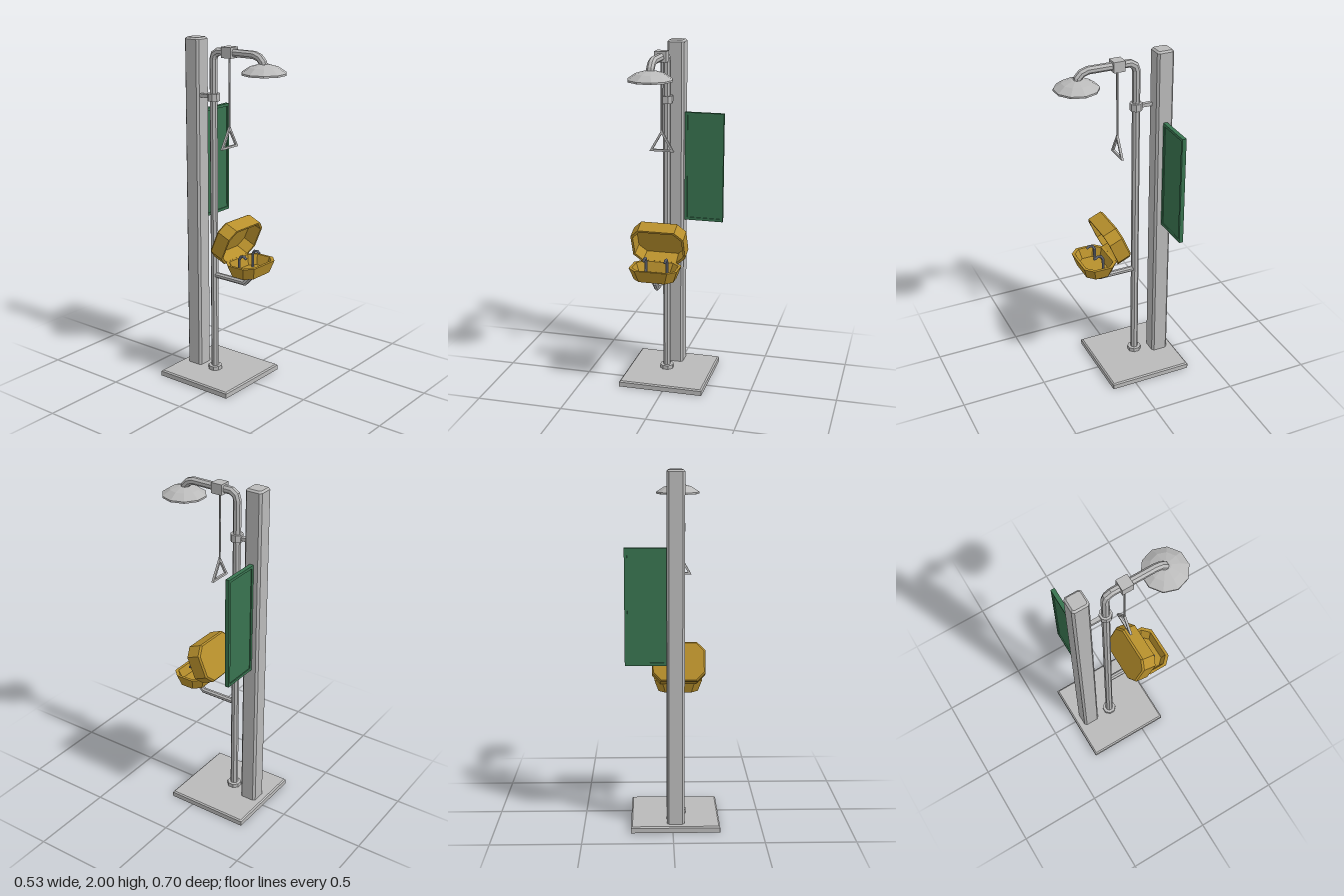
import * as THREE from 'three';

const flat = (name, color) => {
  const m = new THREE.MeshStandardMaterial({ color, flatShading: true });
  m.name = name;
  return m;
};

// Skin a stack of equal-sized rings and cap both ends
function loft(rings) {
  const pos = [];
  const tri = (...ps) => ps.forEach((p) => pos.push(p.x, p.y, p.z));
  const n = rings[0].length;
  for (let k = 0; k < rings.length - 1; k++) {
    const a = rings[k], b = rings[k + 1];
    for (let i = 0; i < n; i++) {
      const j = (i + 1) % n;
      tri(a[i], a[j], b[j]);
      tri(a[i], b[j], b[i]);
    }
  }
  const first = rings[0], last = rings[rings.length - 1];
  for (let i = 1; i < n - 1; i++) {
    tri(first[0], first[i + 1], first[i]);
    tri(last[0], last[i], last[i + 1]);
  }
  const g = new THREE.BufferGeometry();
  g.setAttribute('position', new THREE.Float32BufferAttribute(pos, 3));
  g.computeVertexNormals();
  return g;
}

// Rectangle with cut corners at height y
function ring(hx, hz, c, y) {
  return [
    [c - hx, hz], [hx - c, hz], [hx, hz - c], [hx, c - hz],
    [hx - c, -hz], [c - hx, -hz], [-hx, c - hz], [-hx, hz - c],
  ].map(([x, z]) => new THREE.Vector3(x, y, z));
}

// Eight-sided pipe with mitred bends along [z, y] points at a fixed x
function pipe(x, r, path) {
  const pts = path.map(([z, y]) => new THREE.Vector3(x, y, z));
  const X = new THREE.Vector3(1, 0, 0);
  return loft(pts.map((p, i) => {
    const before = p.clone().sub(pts[Math.max(i - 1, 0)]).normalize();
    const after = pts[Math.min(i + 1, pts.length - 1)].clone().sub(p).normalize();
    const t = before.clone().add(after).normalize();
    const cos = Math.max(t.dot(before), t.dot(after));
    const N = X.clone().cross(t);
    return Array.from({ length: 8 }, (_, k) => {
      const a = ((k + 0.5) * Math.PI) / 4;
      return p.clone().addScaledVector(X, r * Math.sin(a)).addScaledVector(N, (r * Math.cos(a)) / cos);
    });
  }));
}

export function createModel() {
  const model = new THREE.Group();
  const grey = flat('galvanised grey', 0xbababa);
  const yellow = flat('safety yellow', 0xb8902c);
  const green = flat('sign green', 0x38734f);
  const steel = flat('nozzle steel', 0x8a90a0);

  const add = (name, geo, mat, x = 0, y = 0, z = 0) => {
    const m = new THREE.Mesh(geo, mat);
    m.name = name;
    m.position.set(x, y, z);
    model.add(m);
    return m;
  };
  const box = (name, mat, w, h, d, x, y, z) => add(name, new THREE.BoxGeometry(w, h, d), mat, x, y, z);
  const px = -0.04, pz = -0.117; // riser pipe axis

  // Base plate and square column
  add('basePlate', loft([
    ring(0.249, 0.248, 0.001, 0), ring(0.249, 0.248, 0.001, 0.028), ring(0.241, 0.24, 0.001, 0.035),
  ]), grey, -0.015, 0, -0.102);
  add('column', loft([
    ring(0.049, 0.05, 0.012, 0.03), ring(0.049, 0.05, 0.012, 1.99), ring(0.039, 0.04, 0.008, 2),
  ]), grey, -0.016, 0, -0.26);

  // Green sign: raised frame around a panel
  const sx = 0.147, sy = 1.262, sz = -0.261, sw = 0.23, sh = 0.645, f = 0.016;
  box('signPanel', green, sw - 0.01, sh - 0.01, 0.012, sx, sy, sz);
  for (const s of [-1, 1]) {
    box('signFrameSide', green, f, sh, 0.024, sx + (s * (sw - f)) / 2, sy, sz);
    box('signFrameRail', green, sw - 2 * f, f, 0.024, sx, sy + (s * (sh - f)) / 2, sz);
  }

  // Riser pipe with shower arm
  add('riserPipe', pipe(px, 0.0225, [
    [pz, 0.03], [pz, 1.89], [-0.108, 1.918], [-0.08, 1.936],
    [0.165, 1.938], [0.2, 1.926], [0.223, 1.902], [0.23, 1.875],
  ]), grey);
  const collar = (name, r, h, y) => {
    const g = new THREE.CylinderGeometry(r, r, h, 8);
    g.rotateY(Math.PI / 8);
    add(name, g, grey, px, y, pz);
  };
  collar('floorFlange', 0.041, 0.024, 0.046);
  collar('wallClamp', 0.036, 0.042, 1.68);
  box('clampStrut', grey, 0.023, 0.02, 0.1, px, 1.68, -0.17);

  // Shower head
  const profile = [[0, 1.84], [0.125, 1.84], [0.125, 1.85], [0.08, 1.88], [0.03, 1.895], [0, 1.895]];
  add('showerHead', new THREE.LatheGeometry(
    profile.map(([r, y]) => new THREE.Vector2(r, y)), 10, Math.PI / 2), grey, px, 0, 0.23);

  // Valve with pull rod and triangular handle
  box('showerValve', grey, 0.066, 0.06, 0.066, px, 1.938, 0.005 - 0.01);
  add('pullRod', new THREE.CylinderGeometry(0.006, 0.006, 0.4, 6), grey, px, 1.72, -0.005);
  const tri = (w, y0, y1, P) => {
    const s = new P();
    s.moveTo(-w, y0);
    s.lineTo(w, y0);
    s.lineTo(0, y1);
    s.closePath();
    return s;
  };
  const handle = tri(0.071, 1.405, 1.53, THREE.Shape);
  handle.holes.push(tri(0.051, 1.417, 1.506, THREE.Path));
  add('pullHandle', new THREE.ExtrudeGeometry(handle, { depth: 0.013, bevelEnabled: false }), grey, px, 0, -0.0115);

  // Eyewash bowl, hollow
  add('eyewashBowl', loft([
    ring(0.115, 0.078, 0.04, 0), ring(0.14, 0.1, 0.045, 0.07),
    ring(0.124, 0.084, 0.04, 0.07), ring(0.102, 0.066, 0.034, 0.014),
  ]), yellow, px, 0.7, 0.145);

  // Hinged lid, tipped back with its hollow side forward
  const lid = add('eyewashLid', loft([
    ring(0.146, 0.108, 0.046, 0), ring(0.154, 0.115, 0.048, 0.01), ring(0.154, 0.115, 0.048, 0.091),
    ring(0.142, 0.103, 0.044, 0.091), ring(0.138, 0.099, 0.044, 0.016),
  ]), yellow, px, 0.901, 0.002);
  lid.rotation.x = THREE.MathUtils.degToRad(113);

  // Supply pipe under the bowl and the two eyewash nozzles
  add('supplyPipe', pipe(px, 0.017, [[pz, 0.632], [0.105, 0.632], [0.14, 0.668], [0.14, 0.705]]), grey);
  for (const s of [-1, 1]) {
    add('eyewashNozzle', pipe(px + s * 0.062, 0.008, [
      [0.114, 0.712], [0.114, 0.79], [0.126, 0.81], [0.148, 0.814], [0.163, 0.802],
    ]), steel);
  }
  return model;
}
